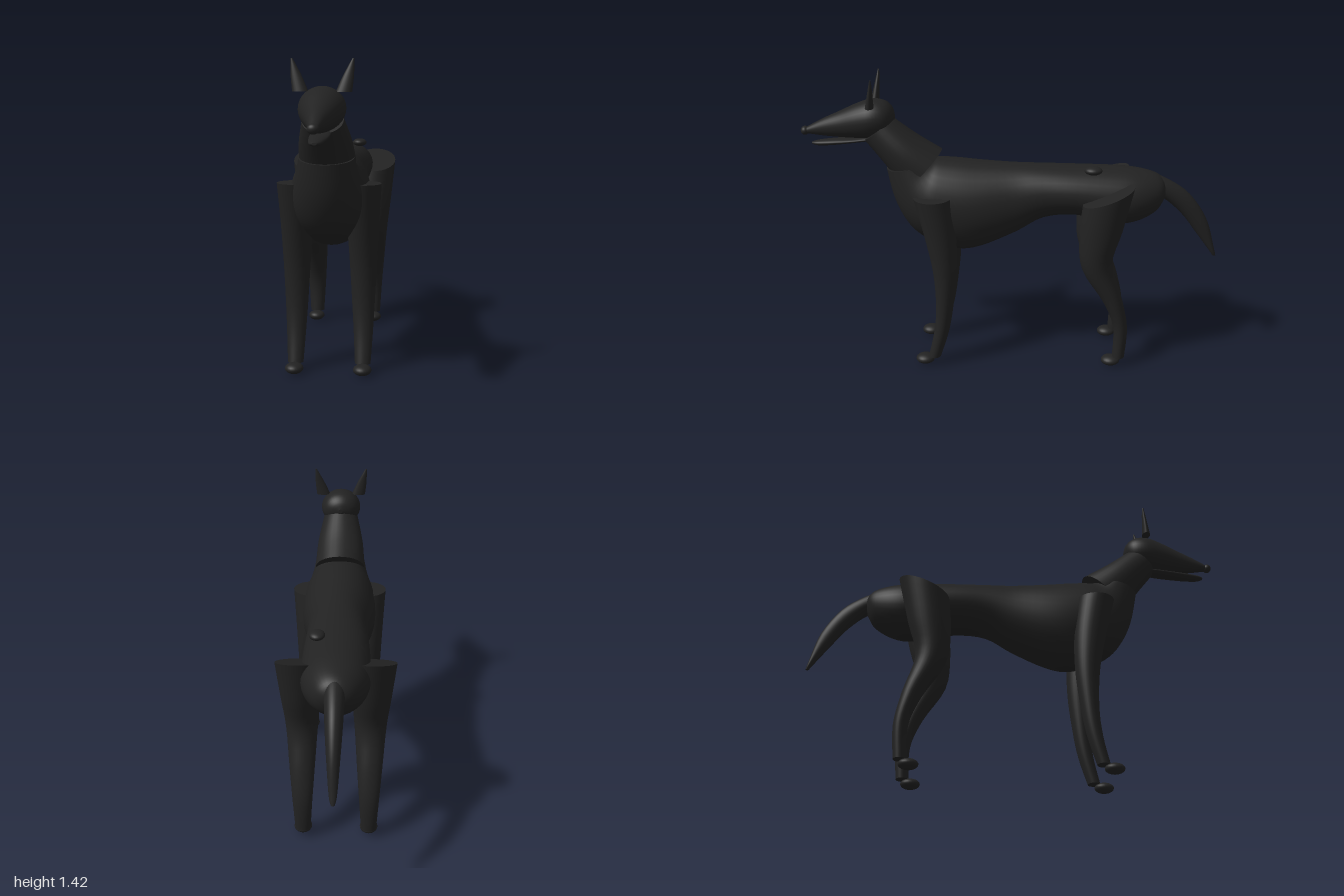
import * as THREE from 'three';

const coat = new THREE.MeshStandardMaterial({ color: 0x222222 });
coat.name = 'black coat';

// Smooth skin over oval rings. Each row: [zA, yA, zB, yB, halfWidth, xCentre],
// where A and B are opposite ends of the ring in the side plane.
function loft(name, rows, { steps = 4, sides = 32 } = {}) {
  const spline = (k, i, t) => {
    const v = (n) => rows[Math.min(rows.length - 1, Math.max(0, n))][k] ?? 0;
    const p0 = v(i - 1), p1 = v(i), p2 = v(i + 1), p3 = v(i + 2);
    return p1 + 0.5 * t * (p2 - p0 + t * (2 * p0 - 5 * p1 + 4 * p2 - p3 + t * (3 * (p1 - p2) + p3 - p0)));
  };
  const pos = [], index = [];
  const count = (rows.length - 1) * steps;
  const ring = (s) => {
    const i = Math.min(rows.length - 2, Math.floor(s / steps));
    const t = s / steps - i;
    const [zA, yA, zB, yB, w, x] = [0, 1, 2, 3, 4, 5].map((k) => spline(k, i, t));
    for (let j = 0; j < sides; j++) {
      const a = (j / sides) * Math.PI * 2, c = Math.cos(a) / 2;
      pos.push(x + Math.sin(a) * w, (yA + yB) / 2 + c * (yA - yB), (zA + zB) / 2 + c * (zA - zB));
    }
  };
  for (let s = 0; s <= count; s++) ring(s);
  for (let s = 0; s < count; s++) {
    for (let j = 0; j < sides; j++) {
      const k = (j + 1) % sides;
      const a = s * sides + j, b = s * sides + k;
      index.push(a, a + sides, b, b, a + sides, b + sides);
    }
  }
  // flat end caps with their own vertices
  for (const s of [0, count]) {
    const base = pos.length / 3;
    ring(s);
    for (let j = 1; j < sides - 1; j++) {
      if (s === 0) index.push(base, base + j, base + j + 1);
      else index.push(base, base + j + 1, base + j);
    }
  }
  const geo = new THREE.BufferGeometry();
  geo.setAttribute('position', new THREE.Float32BufferAttribute(pos, 3));
  geo.setIndex(index);
  geo.computeVertexNormals();
  const mesh = new THREE.Mesh(geo, coat);
  mesh.name = name;
  return mesh;
}

function ellipsoid(name, [x, y, z], [rx, ry, rz]) {
  const mesh = new THREE.Mesh(new THREE.SphereGeometry(1, 24, 16), coat);
  mesh.name = name;
  mesh.position.set(x, y, z);
  mesh.scale.set(rx, ry, rz);
  return mesh;
}

export function createModel() {
  const model = new THREE.Group();
  model.name = 'dog';

  // trunk, rump to chest
  model.add(loft('body', [
    [-0.738, 0.875, -0.738, 0.86, 0.012],
    [-0.72, 0.925, -0.722, 0.82, 0.06],
    [-0.68, 0.955, -0.685, 0.765, 0.1],
    [-0.6, 0.975, -0.6, 0.72, 0.14],
    [-0.5, 0.985, -0.5, 0.71, 0.155],
    [-0.3, 0.99, -0.31, 0.75, 0.15],
    [-0.13, 0.995, -0.15, 0.735, 0.143],
    [0, 1.0, -0.02, 0.66, 0.15],
    [0.15, 1.01, 0.15, 0.585, 0.175],
    [0.25, 1.02, 0.27, 0.57, 0.182],
    [0.33, 1.025, 0.41, 0.62, 0.175],
    [0.36, 1.025, 0.5, 0.695, 0.158],
    [0.37, 1.025, 0.565, 0.82, 0.138],
    [0.38, 1.02, 0.6, 0.975, 0.122],
  ]));

  // neck, a tapering tube
  model.add(loft('neck', [
    [0.335, 1.065, 0.52, 0.87, 0.125],
    [0.45, 1.135, 0.605, 0.995, 0.115],
    [0.565, 1.22, 0.7, 1.115, 0.088],
  ]));

  // skull and muzzle
  model.add(loft('head', [
    [0.553, 1.235, 0.553, 1.215, 0.01],
    [0.565, 1.27, 0.57, 1.175, 0.055],
    [0.6, 1.3, 0.6, 1.14, 0.088],
    [0.66, 1.308, 0.66, 1.125, 0.1],
    [0.73, 1.286, 0.73, 1.122, 0.086],
    [0.81, 1.25, 0.81, 1.125, 0.062],
    [0.9, 1.21, 0.9, 1.132, 0.037],
    [0.975, 1.17, 0.975, 1.142, 0.018],
  ]));
  model.add(loft('lowerJaw', [
    [0.65, 1.135, 0.65, 1.11, 0.04],
    [0.75, 1.123, 0.75, 1.098, 0.042],
    [0.85, 1.116, 0.85, 1.086, 0.035],
    [0.92, 1.108, 0.92, 1.083, 0.025],
    [0.95, 1.1, 0.95, 1.09, 0.01],
  ]));
  model.add(ellipsoid('nose', [0, 1.155, 0.98], [0.025, 0.021, 0.02]));

  // tail, arching back and down
  model.add(loft('tail', [
    [-0.67, 0.855, -0.64, 0.965, 0.046],
    [-0.745, 0.815, -0.74, 0.925, 0.043],
    [-0.825, 0.74, -0.85, 0.85, 0.037],
    [-0.89, 0.655, -0.94, 0.72, 0.028],
    [-0.965, 0.555, -0.985, 0.575, 0.017],
    [-0.982, 0.53, -0.997, 0.53, 0.008],
  ]));

  // small lump on the left of the back
  model.add(ellipsoid('backLump', [0.085, 0.99, -0.38], [0.036, 0.02, 0.042]));

  for (const [side, m] of [['left', 1], ['right', -1]]) {
    model.add(loft(side + 'Ear', [
      [0.635, 1.285, 0.675, 1.285, 0.034, m * 0.09],
      [0.635, 1.34, 0.662, 1.34, 0.025, m * 0.105],
      [0.634, 1.39, 0.65, 1.39, 0.013, m * 0.119],
      [0.636, 1.422, 0.642, 1.422, 0.004, m * 0.128],
    ], { sides: 20 }));

    model.add(loft(side + 'FrontLeg', [
      [0.462, 0.872, 0.285, 0.872, 0.09, m * 0.145],
      [0.415, 0.68, 0.265, 0.68, 0.073, m * 0.15],
      [0.38, 0.5, 0.265, 0.5, 0.062, m * 0.152],
      [0.37, 0.32, 0.285, 0.32, 0.052, m * 0.153],
      [0.382, 0.18, 0.31, 0.18, 0.044, m * 0.154],
      [0.412, 0.045, 0.352, 0.045, 0.036, m * 0.154],
    ]));
    model.add(ellipsoid(side + 'FrontPaw', [m * 0.155, 0.029, 0.43], [0.042, 0.025, 0.046]));

    model.add(loft(side + 'HindLeg', [
      [-0.33, 0.845, -0.57, 0.94, 0.107, m * 0.162],
      [-0.318, 0.69, -0.52, 0.72, 0.09, m * 0.16],
      [-0.335, 0.52, -0.478, 0.55, 0.073, m * 0.157],
      [-0.44, 0.35, -0.53, 0.37, 0.058, m * 0.155],
      [-0.495, 0.21, -0.563, 0.21, 0.046, m * 0.154],
      [-0.495, 0.05, -0.555, 0.05, 0.036, m * 0.154],
    ]));
    model.add(ellipsoid(side + 'HindPaw', [m * 0.155, 0.029, -0.487], [0.042, 0.025, 0.046]));
  }
  return model;
}
